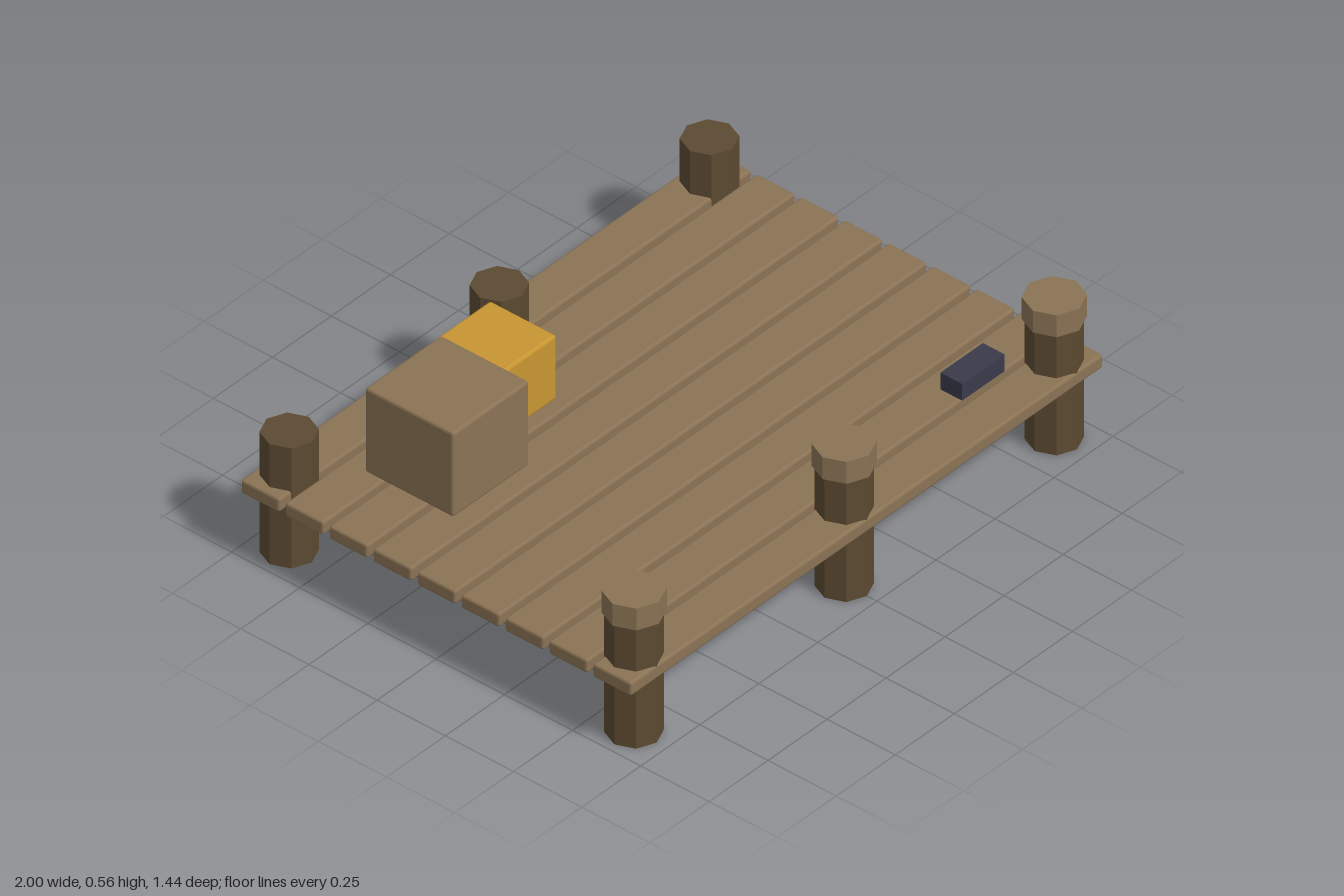
import * as THREE from 'three';
import { RoundedBoxGeometry } from 'three/addons/geometries/RoundedBoxGeometry.js';

function material(name, color) {
  const m = new THREE.MeshStandardMaterial({ color });
  m.name = name;
  return m;
}

// Box with small flat chamfers on every edge
function chamferBox(w, h, d, bevel) {
  const g = new RoundedBoxGeometry(w, h, d, 1, bevel);
  g.computeVertexNormals();
  return g;
}

// Faceted eight-sided cylinder standing on its base
function octagon(radius, height) {
  const g = new THREE.CylinderGeometry(radius, radius, height, 8).toNonIndexed();
  g.computeVertexNormals();
  return g.translate(0, height / 2, 0);
}

export function createModel() {
  const model = new THREE.Group();
  model.name = 'dock';

  const wood = material('weathered wood', 0x8b7355);
  const darkWood = material('dark wood', 0x5c4a32);
  const yellow = material('yellow paint', 0xc89632);
  const metal = material('dark metal', 0x3a3a4a);

  const add = (name, geometry, mat, x, y, z) => {
    const mesh = new THREE.Mesh(geometry, mat);
    mesh.name = name;
    mesh.position.set(x, y, z);
    model.add(mesh);
  };

  // Deck planks
  const plank = chamferBox(2, 0.046, 0.14, 0.007);
  for (let i = 0; i < 9; i++) add('plank', plank, wood, 0, 0.245, -0.646 + i * 0.1612);

  // Posts, with wider caps along the front
  const post = octagon(0.083, 0.417);
  const cap = octagon(0.091, 0.076);
  for (const x of [-0.89, 0, 0.89]) {
    add('backPost', post, darkWood, x, 0, -0.634);
    add('frontPost', post, darkWood, x, 0, 0.63);
    add('postCap', cap, wood, x, 0.417, 0.63);
  }

  // Cargo and mooring block
  add('largeCrate', chamferBox(0.322, 0.292, 0.324, 0.008), wood, -0.589, 0.417, -0.316);
  add('smallCrate', chamferBox(0.242, 0.222, 0.244, 0.008), yellow, -0.27, 0.382, -0.417);
  add('mooringBlock', new THREE.BoxGeometry(0.18, 0.058, 0.08), metal, 0.673, 0.297, 0.52 - 0.002);

  return model;
}
